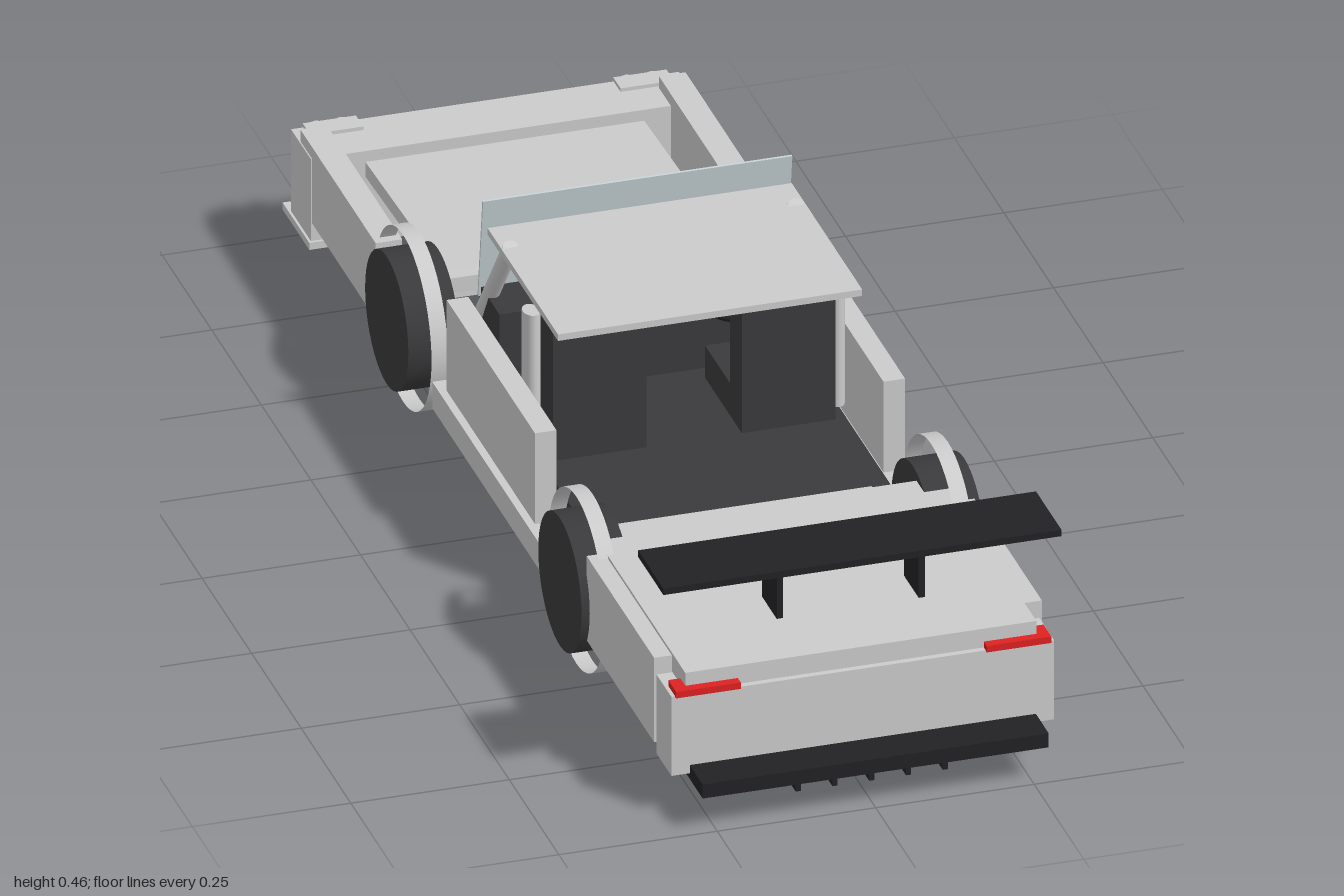
import * as THREE from 'three';

const mat = (color, side = THREE.FrontSide) => new THREE.MeshStandardMaterial({ color, side });
const paint = mat(0xcccccc);
const thin = mat(0xcccccc, THREE.DoubleSide);
const dark = mat(0x3a3a3c);
const black = mat(0x222224);
const red = mat(0xdd2222);
const glass = mat(0xc4d0d4, THREE.DoubleSide);

export function createModel() {
  const car = new THREE.Group();
  car.name = 'car';

  const add = (name, geometry, material) => {
    const mesh = new THREE.Mesh(geometry, material);
    mesh.name = name;
    car.add(mesh);
    return mesh;
  };
  // Box given by its limits on each axis
  const box = (name, [x0, x1], [y0, y1], [z0, z1], material = paint) => {
    const mesh = add(name, new THREE.BoxGeometry(x1 - x0, y1 - y0, z1 - z0), material);
    mesh.position.set((x0 + x1) / 2, (y0 + y1) / 2, (z0 + z1) / 2);
    return mesh;
  };
  // The same box on both sides
  const pair = (name, [x0, x1], y, z, material) => {
    box(name + 'Left', [x0, x1], y, z, material);
    box(name + 'Right', [-x1, -x0], y, z, material);
  };
  const rod = (name, a, b, radius, material = paint) => {
    const path = new THREE.LineCurve3(new THREE.Vector3(...a), new THREE.Vector3(...b));
    const mesh = add(name, new THREE.CylinderGeometry(radius, radius, path.getLength(), 16), material);
    mesh.position.copy(path.getPoint(0.5));
    mesh.quaternion.setFromUnitVectors(new THREE.Vector3(0, 1, 0), path.getTangent(0));
    return mesh;
  };

  // Tub, sills and doors
  box('tub', [-0.24, 0.24], [0.04, 0.16], [-0.35, 0.32], dark);
  box('rearFloor', [-0.2, 0.2], [0.04, 0.07], [0.32, 0.38], dark);
  pair('floorEdge', [0.2, 0.27], [0.037, 0.07], [-0.3, 0.27], dark);
  pair('sill', [0.254, 0.296], [0.07, 0.115], [-0.29, 0.27]);
  pair('door', [0.258, 0.292], [0.13, 0.285], [-0.23, 0.215]);

  // Wheels with thin arch bands
  for (const [z, end] of [[0.427, 'tail'], [-0.446, 'nose']]) {
    for (const s of [1, -1]) {
      const side = s > 0 ? 'Left' : 'Right';
      rod(end + 'Wheel' + side, [s * 0.238, 0.144, z], [s * 0.319, 0.144, z], 0.109, dark).geometry =
        new THREE.CylinderGeometry(0.109, 0.109, 0.081, 40);
      const arch = add(end + 'Arch' + side, new THREE.CylinderGeometry(0.1425, 0.1425, 0.026, 48, 1, true), thin);
      arch.rotation.z = Math.PI / 2;
      arch.position.set(s * 0.28, 0.143, z);
    }
  }

  // Tail body
  box('tailDeck', [-0.277, 0.277], [0.205, 0.237], [0.445, 0.925]);
  box('tailBumper', [-0.302, 0.302], [0.07, 0.205], [0.86, 0.935]);
  pair('tailFender', [0.278, 0.306], [0.09, 0.234], [0.52, 0.86]);
  box('engineCover', [-0.2, 0.2], [0.1, 0.18], [0.34, 0.62]);
  pair('tailLight', [0.194, 0.296], [0.204, 0.215], [0.9, 0.94], red);

  // Diffuser and its fins
  box('diffuser', [-0.273, 0.273], [0.06, 0.084], [0.72, 1], black);
  for (let i = -2; i <= 2; i++) {
    box('diffuserFin', [i * 0.058 - 0.004, i * 0.058 + 0.004], [0.037, 0.06], [0.73, 0.98], black);
  }

  // Wing
  box('wing', [-0.314, 0.314], [0.38, 0.391], [0.805, 0.933], black);
  pair('wingSupport', [0.107, 0.117], [0.278, 0.381], [0.8, 0.875], black);

  // Nose
  const hood = box('hood', [-0.22, 0.22], [0.165, 0.19], [-0.88, -0.43]);
  hood.rotation.x = -0.04;
  box('hoodVent', [-0.225, 0.225], [0.18, 0.208], [-0.455, -0.43]);
  box('cowl', [-0.2, 0.2], [0.13, 0.15], [-0.43, -0.35]);
  pair('noseFender', [0.262, 0.304], [0.09, 0.22], [-0.93, -0.55]);
  box('noseBumper', [-0.306, 0.306], [0.06, 0.2], [-0.97, -0.87]);
  box('splitter', [-0.31, 0.31], [0.048, 0.06], [-1, -0.865]);

  // Twin headlights
  for (const s of [1, -1]) {
    box('headlightPod', [s * 0.245 - 0.042, s * 0.245 + 0.042], [0.172, 0.206], [-0.972, -0.935]);
    for (const dx of [-0.02, 0.02]) {
      rod('headlight', [s * 0.245 + dx, 0.189, -0.965], [s * 0.245 + dx, 0.189, -0.98], 0.014);
    }
  }

  // Cabin: roof, pillars and windscreen
  box('roof', [-0.24, 0.24], [0.409, 0.42], [-0.19, 0.165]);
  for (const s of [1, -1]) {
    const side = s > 0 ? 'Left' : 'Right';
    rod('screenPillar' + side, [s * 0.225, 0.42, -0.12], [s * 0.24, 0.18, -0.28], 0.013);
    const pillar = rod('rearPillar' + side, [s * 0.24, 0.16, 0.03], [s * 0.24, 0.393, 0.03], 0.02);
    pillar.scale.x = 0.68;
  }
  const screen = add('windscreen', new THREE.BoxGeometry(0.488, 0.175, 0.004), glass);
  screen.position.set(0, 0.374, -0.214);
  screen.rotation.x = 0.14;

  // Seats, dashboard and steering wheel
  pair('seatBack', [0.075, 0.223], [0.16, 0.385], [0.025, 0.085], dark);
  pair('seatCushion', [0.075, 0.223], [0.16, 0.215], [-0.1, 0.025], dark);
  box('dashboard', [-0.24, 0.24], [0.16, 0.303], [-0.23, -0.13], dark);
  const wheel = add('steeringWheel', new THREE.TorusGeometry(0.045, 0.007, 10, 32), black);
  wheel.position.set(0.115, 0.298, -0.1);
  wheel.rotation.x = -1.1;
  rod('steeringColumn', [0.115, 0.298, -0.1], [0.115, 0.26, -0.16], 0.01, black);

  return car;
}
